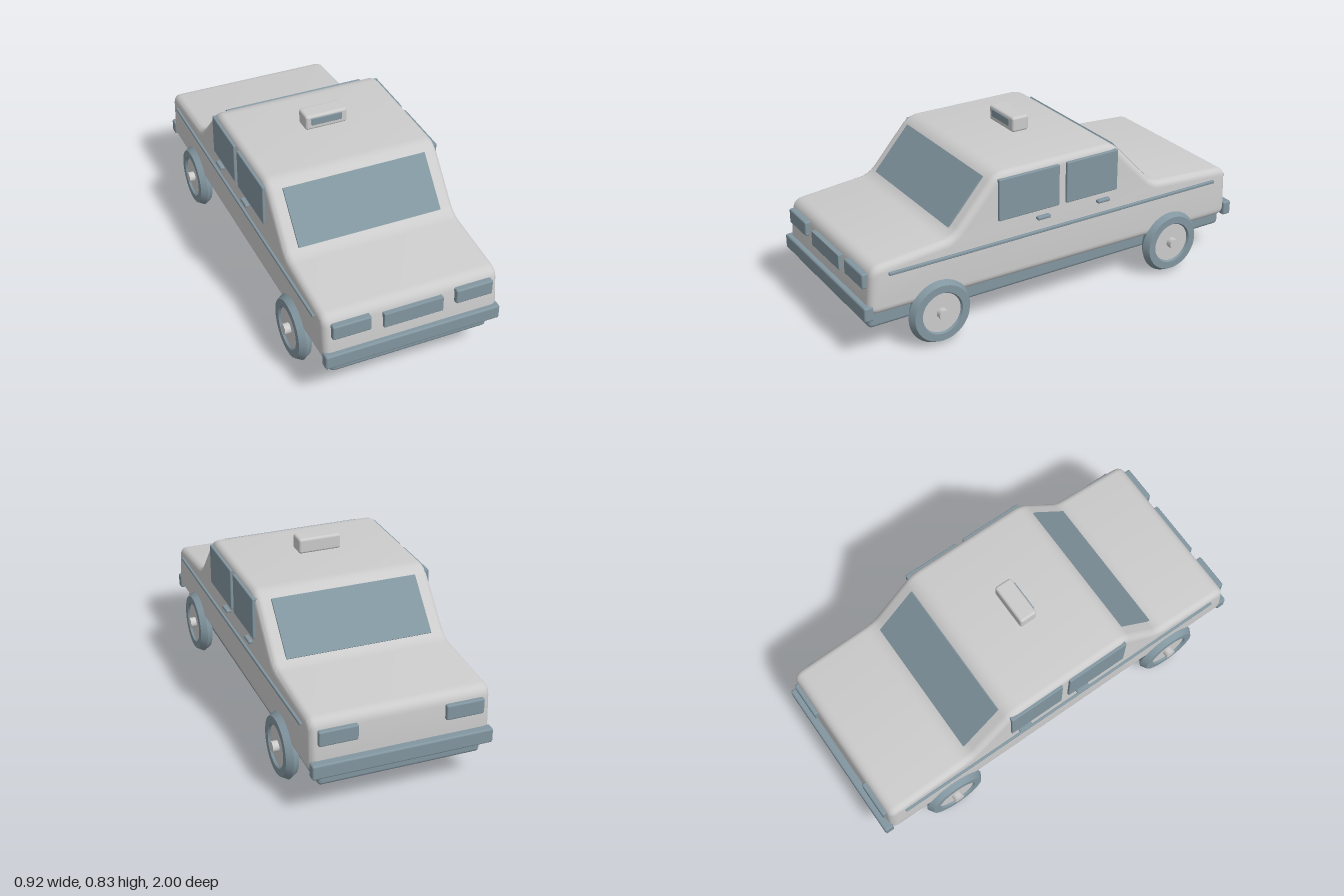
import * as THREE from 'three';
import { RoundedBoxGeometry } from 'three/addons/geometries/RoundedBoxGeometry.js';
import { toCreasedNormals } from 'three/addons/utils/BufferGeometryUtils.js';

const grey = new THREE.MeshStandardMaterial({ color: 0xcccccc });
const slate = new THREE.MeshStandardMaterial({ color: 0x8296a0 });

// Closed outline through corner points, each corner rounded over length r
function roundedOutline(points, r) {
  const pts = points.map(([a, b]) => new THREE.Vector2(a, b));
  const toward = (p, q) => p.clone().add(q.clone().sub(p).setLength(r));
  const shape = new THREE.Shape();
  pts.forEach((p, i) => {
    const start = toward(p, pts[(i + pts.length - 1) % pts.length]);
    const end = toward(p, pts[(i + 1) % pts.length]);
    if (i === 0) shape.moveTo(start.x, start.y);
    else shape.lineTo(start.x, start.y);
    shape.quadraticCurveTo(p.x, p.y, end.x, end.y);
  });
  shape.closePath();
  return shape;
}

export function createModel() {
  const car = new THREE.Group();
  car.name = 'taxi';

  function add(name, geometry, material, x = 0, y = 0, z = 0) {
    const mesh = new THREE.Mesh(geometry, material);
    mesh.name = name;
    mesh.position.set(x, y, z);
    car.add(mesh);
    return mesh;
  }
  // Rounded box given by its limits on each axis
  function block(name, material, [x0, x1], [y0, y1], [z0, z1], r = 0.005) {
    const geometry = new RoundedBoxGeometry(x1 - x0, y1 - y0, z1 - z0, 3, r);
    return add(name, geometry, material, (x0 + x1) / 2, (y0 + y1) / 2, (z0 + z1) / 2);
  }

  // Body: side profile (z, y) extruded across the width with rounded edges
  const profile = roundedOutline([
    [0.982, 0.222], [0.957, 0.447], [0.565, 0.485], [0.345, 0.737],
    [-0.28, 0.737], [-0.515, 0.487], [-0.955, 0.459], [-0.967, 0.208],
  ], 0.05);
  const bevel = 0.033, halfWidth = 0.415;
  const bodyGeometry = new THREE.ExtrudeGeometry(profile, {
    depth: 2 * (halfWidth - bevel), curveSegments: 6, bevelSegments: 5,
    bevelThickness: bevel, bevelSize: bevel, bevelOffset: -bevel,
  });
  bodyGeometry.translate(0, 0, -(halfWidth - bevel));
  bodyGeometry.rotateY(-Math.PI / 2);
  add('body', toCreasedNormals(bodyGeometry, 0.6), grey);

  // Dark underbody and bumpers
  block('underbody', slate, [-0.375, 0.375], [0.142, 0.25], [-0.96, 0.963], 0.018);
  block('frontBumper', slate, [-0.415, 0.415], [0.203, 0.272], [0.955, 1], 0.009);
  block('rearBumper', slate, [-0.415, 0.415], [0.203, 0.272], [-1, -0.955], 0.009);

  // Sloping windscreens, running between two (z, y) points
  function windscreen(name, [z0, y0], [z1, y1]) {
    const length = Math.hypot(z1 - z0, y1 - y0);
    const pane = add(name, new THREE.BoxGeometry(0.69, length, 0.014), slate,
      0, (y0 + y1) / 2, (z0 + z1) / 2);
    pane.rotation.x = Math.atan2(z1 - z0, y1 - y0);
  }
  windscreen('frontWindscreen', [0.549, 0.506], [0.372, 0.708]);
  windscreen('rearWindscreen', [-0.502, 0.503], [-0.31, 0.707]);

  // Lights, grille and roof sign
  for (const side of [1, -1]) {
    const across = side > 0 ? [0.2, 0.378] : [-0.378, -0.2];
    block('headlight', slate, across, [0.343, 0.415], [0.945, 0.987], 0.008);
    block('tailLight', slate, across, [0.343, 0.415], [-0.977, -0.94], 0.008);
  }
  block('grille', slate, [-0.14, 0.14], [0.328, 0.401], [0.95, 0.984], 0.003);
  block('roofSign', grey, [-0.103, 0.103], [0.757, 0.83], [-0.017, 0.07], 0.012);
  block('roofSignPanel', slate, [-0.075, 0.075], [0.782, 0.817], [0.06, 0.075], 0.002);

  // Side windows, door handles and trim strips
  for (const side of [1, -1]) {
    const out = (depth) => (side > 0 ? [0.4, depth] : [-depth, -0.4]);
    block('frontSideWindow', slate, out(0.427), [0.514, 0.712], [0.025, 0.34]);
    block('rearSideWindow', slate, out(0.427), [0.514, 0.712], [-0.292, -0.013]);
    for (const z of [0.108, -0.217])
      block('doorHandle', slate, out(0.435), [0.469, 0.485], [z - 0.034, z + 0.034], 0.006);
    block('trimStrip', slate, out(0.426), [0.4, 0.415], [-0.877, 0.88]);
  }

  // Wheels: six-sided tyre ring, hub disc and axle stub
  const tyre = new THREE.TorusGeometry(0.118, 0.035, 6, 40).rotateY(Math.PI / 2);
  const tyreGeometry = toCreasedNormals(tyre, 0.6);
  const hub = new THREE.CylinderGeometry(0.1, 0.1, 0.04, 40).rotateZ(Math.PI / 2);
  const axle = new THREE.CylinderGeometry(0.025, 0.025, 0.098, 20).rotateZ(Math.PI / 2);
  for (const x of [0.413, -0.413]) {
    for (const z of [0.64, -0.62]) {
      add('tyre', tyreGeometry, slate, x, 0.155, z);
      add('hub', hub, grey, x, 0.155, z);
      add('axle', axle, grey, x, 0.155, z);
    }
  }
  return car;
}
